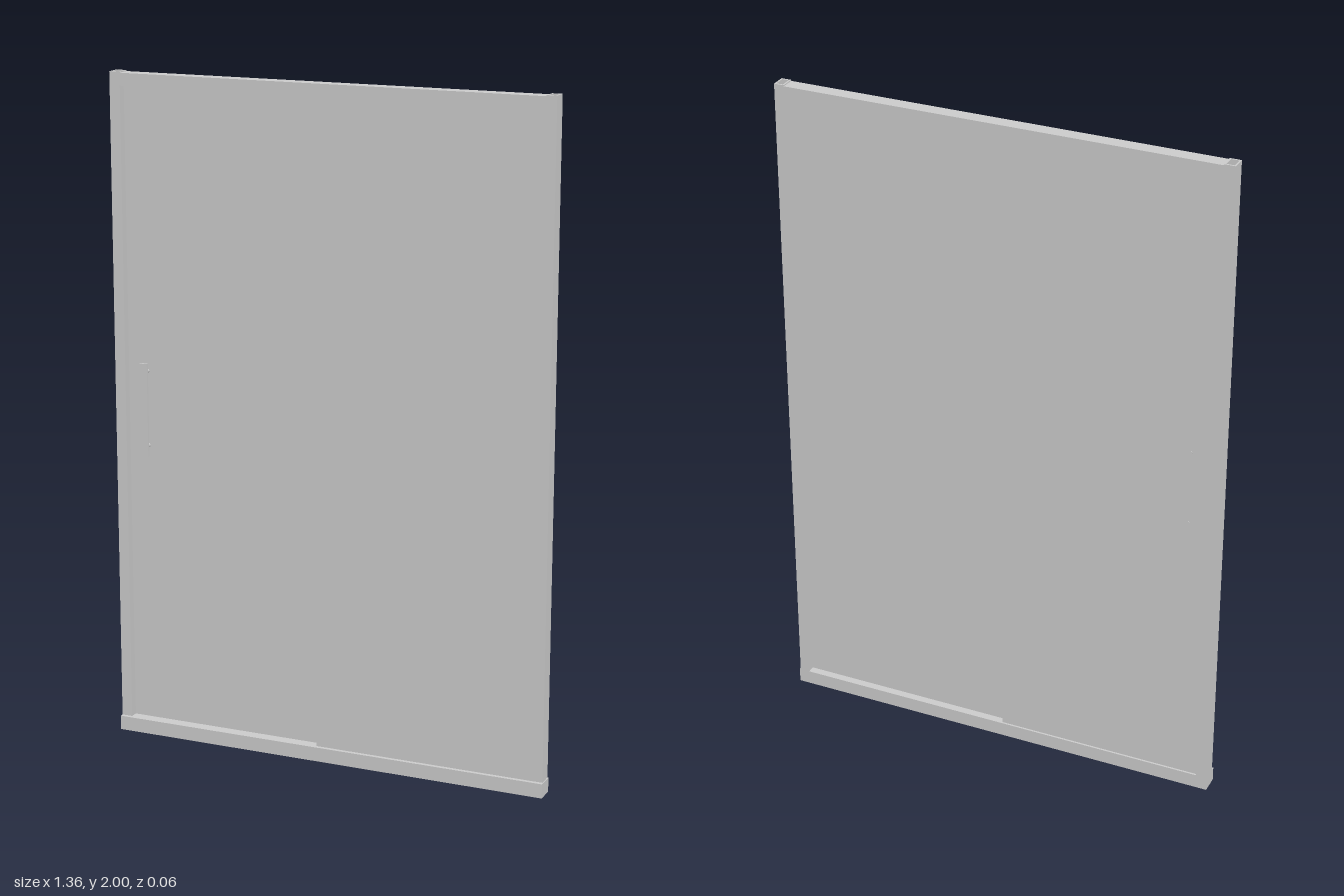
import * as THREE from 'three';

const material = new THREE.MeshStandardMaterial({ color: 0xcccccc });

// Box given by its min and max on each axis
function slab(name, [x0, x1], [y0, y1], [z0, z1]) {
  const mesh = new THREE.Mesh(new THREE.BoxGeometry(x1 - x0, y1 - y0, z1 - z0), material);
  mesh.position.set((x0 + x1) / 2, (y0 + y1) / 2, (z0 + z1) / 2);
  mesh.name = name;
  return mesh;
}

// Hollow upright profile, extruded upwards
function stile(name, x0, x1, y0, y1, z0, z1) {
  const wall = 0.005;
  const rect = (P, a, b, c, d) => {
    const p = new P();
    p.moveTo(a, c); p.lineTo(b, c); p.lineTo(b, d); p.lineTo(a, d); p.closePath();
    return p;
  };
  // shape y becomes -z once the extrusion is stood up
  const shape = rect(THREE.Shape, x0, x1, -z1, -z0);
  shape.holes.push(rect(THREE.Path, x0 + wall, x1 - wall, -z1 + wall, -z0 - wall));
  const geo = new THREE.ExtrudeGeometry(shape, { depth: y1 - y0, bevelEnabled: false });
  geo.rotateX(-Math.PI / 2);
  const mesh = new THREE.Mesh(geo, material);
  mesh.position.y = y0;
  mesh.name = name;
  return mesh;
}

export function createModel() {
  const door = new THREE.Group();
  door.name = 'slidingDoor';
  const back = -0.028, front = 0.016;
  const sillTop = 0.043, headBottom = 1.96, inner = 0.645;

  // Outer frame: sill with a front lip, two stiles and a head rail
  const frame = new THREE.Group();
  frame.name = 'frame';
  frame.add(
    slab('sill', [-0.678, 0.678], [0, sillTop], [back, 0.028]),
    stile('rightStile', -0.678, -inner, sillTop, 2, back, front),
    stile('leftStile', inner, 0.675, sillTop, 2, back, front),
    slab('headRail', [-inner, inner], [headBottom, 1.997], [back, front]),
  );

  // Fixed panel sits flush with the front, sliding panel runs behind it
  const fixedPanel = slab('fixedPanel', [-0.03, inner], [sillTop, headBottom], [-0.004, front]);
  const slidingPanel = slab('slidingPanel', [-inner, -0.015], [sillTop, headBottom], [-0.022, -0.008]);

  // Pull handle: flat bar on two round standoffs that pass through the panel
  const handle = new THREE.Group();
  handle.name = 'handle';
  handle.add(slab('handleBar', [-0.596, -0.571], [0.87, 1.15], [0.014, 0.021]));
  for (const y of [0.897, 1.123]) {
    const standoff = new THREE.Mesh(new THREE.CylinderGeometry(0.006, 0.006, 0.038, 16), material);
    standoff.rotation.x = Math.PI / 2;
    standoff.position.set(-0.5835, y, -0.004);
    standoff.name = 'handleStandoff';
    handle.add(standoff);
  }

  door.add(frame, fixedPanel, slidingPanel, handle);
  return door;
}
